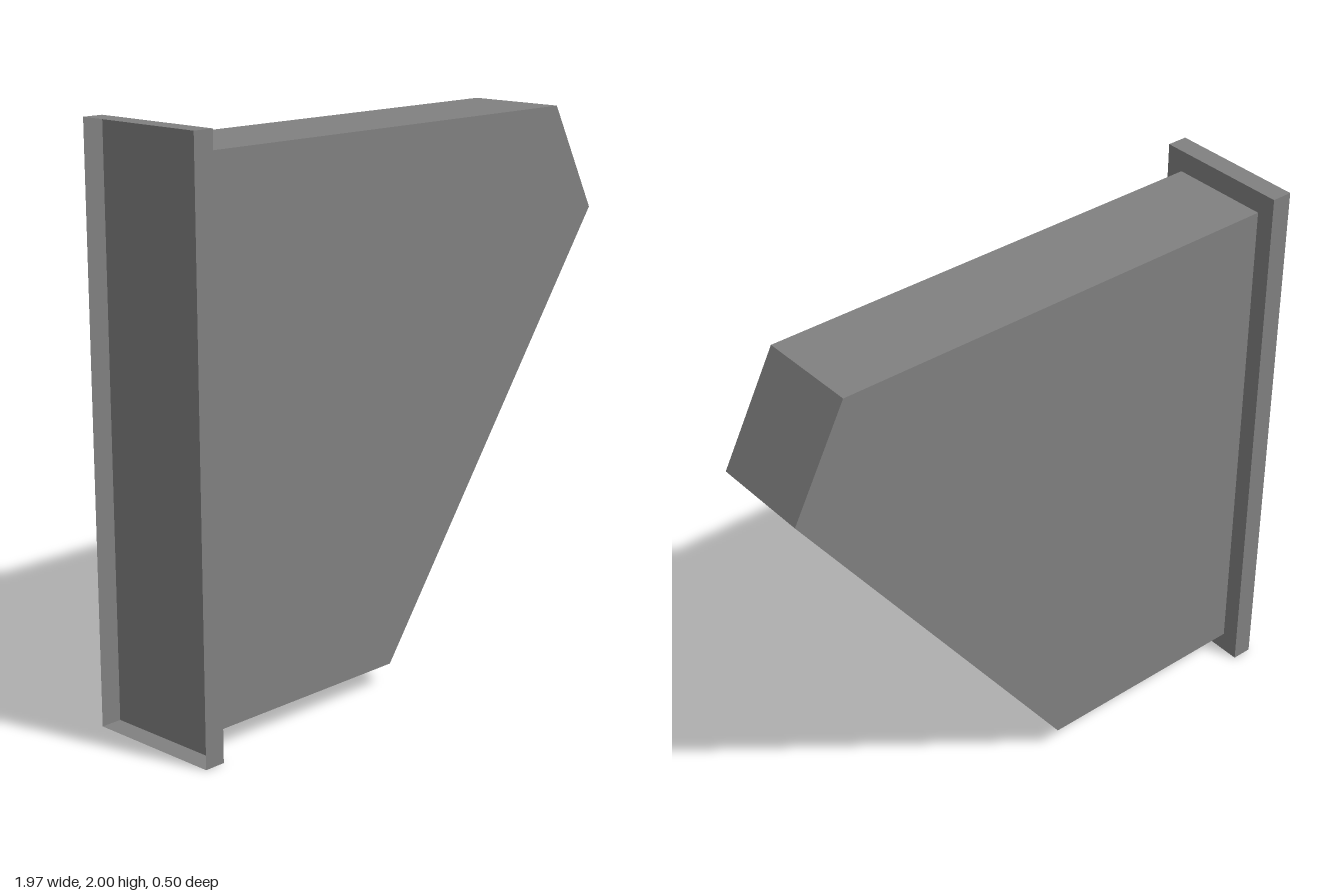
import * as THREE from 'three';

export function createModel() {
  const model = new THREE.Group();
  model.name = 'wallBracket';
  const grey = new THREE.MeshStandardMaterial({ color: 0x808080, side: THREE.DoubleSide });
  grey.name = 'grey';

  // Wedge-shaped body, extruded across z
  const halfWidth = 0.185;
  const profile = new THREE.Shape([
    [-0.912, 0.077], [-0.07, 0.077], [0.987, 1.543], [0.787, 1.924], [-0.912, 1.924],
  ].map(([x, y]) => new THREE.Vector2(x, y)));
  const bodyGeometry = new THREE.ExtrudeGeometry(profile, { depth: halfWidth * 2, bevelEnabled: false });
  bodyGeometry.translate(0, 0, -halfWidth);
  const body = new THREE.Mesh(bodyGeometry, grey);
  body.name = 'body';
  model.add(body);

  // Mounting flange: a shallow thin-walled tray, open on its -x side
  const flangeGeometry = new THREE.BoxGeometry(0.075, 2, 0.503);
  const faces = Array.from(flangeGeometry.index.array);
  faces.splice(6, 6); // drop the -x face
  flangeGeometry.setIndex(faces);
  flangeGeometry.clearGroups();
  const flange = new THREE.Mesh(flangeGeometry, grey);
  flange.name = 'mountingFlange';
  flange.position.set(-0.9495, 1, 0);
  model.add(flange);

  return model;
}
